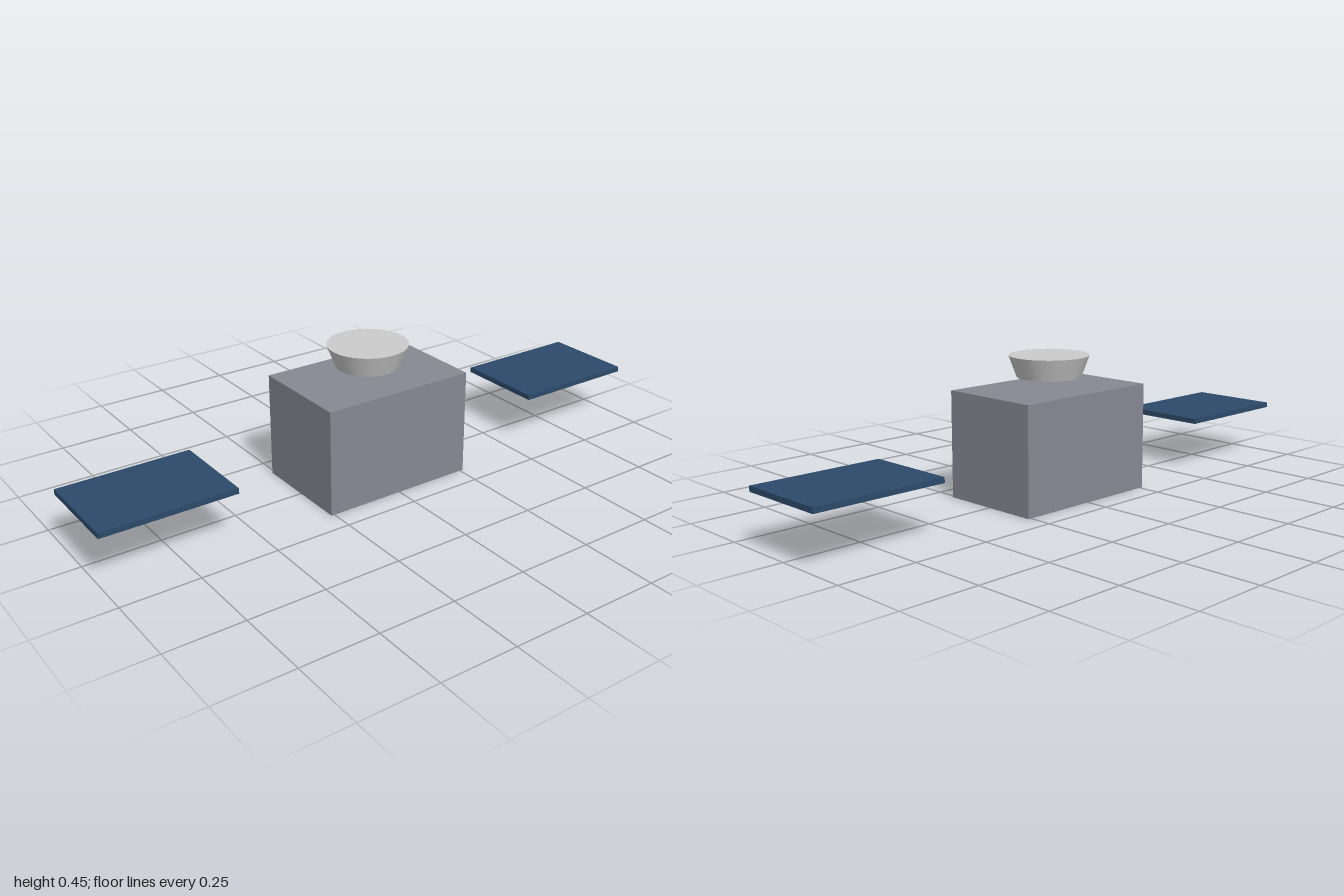
import * as THREE from 'three';

function addPart(group, name, geometry, color, x, y) {
  const mesh = new THREE.Mesh(geometry, new THREE.MeshStandardMaterial({ color }));
  mesh.name = name;
  mesh.position.set(x, y, 0);
  group.add(mesh);
}

export function createModel() {
  const group = new THREE.Group();
  group.name = 'satellite';

  // Box-shaped main body
  addPart(group, 'body', new THREE.BoxGeometry(0.522, 0.348, 0.348), 0x888894, 0, 0.174);

  // Dish floating above the body, flaring upward
  addPart(group, 'dish', new THREE.CylinderGeometry(0.13, 0.104, 0.07, 32), 0xcccccc, 0, 0.4175);

  // Thin solar panels, set apart on both sides
  const panel = new THREE.BoxGeometry(0.435, 0.0174, 0.305);
  for (const [name, side] of [['leftPanel', 1], ['rightPanel', -1]]) {
    addPart(group, name, panel, 0x2c4a6a, side * 0.7825, 0.174);
  }

  return group;
}
